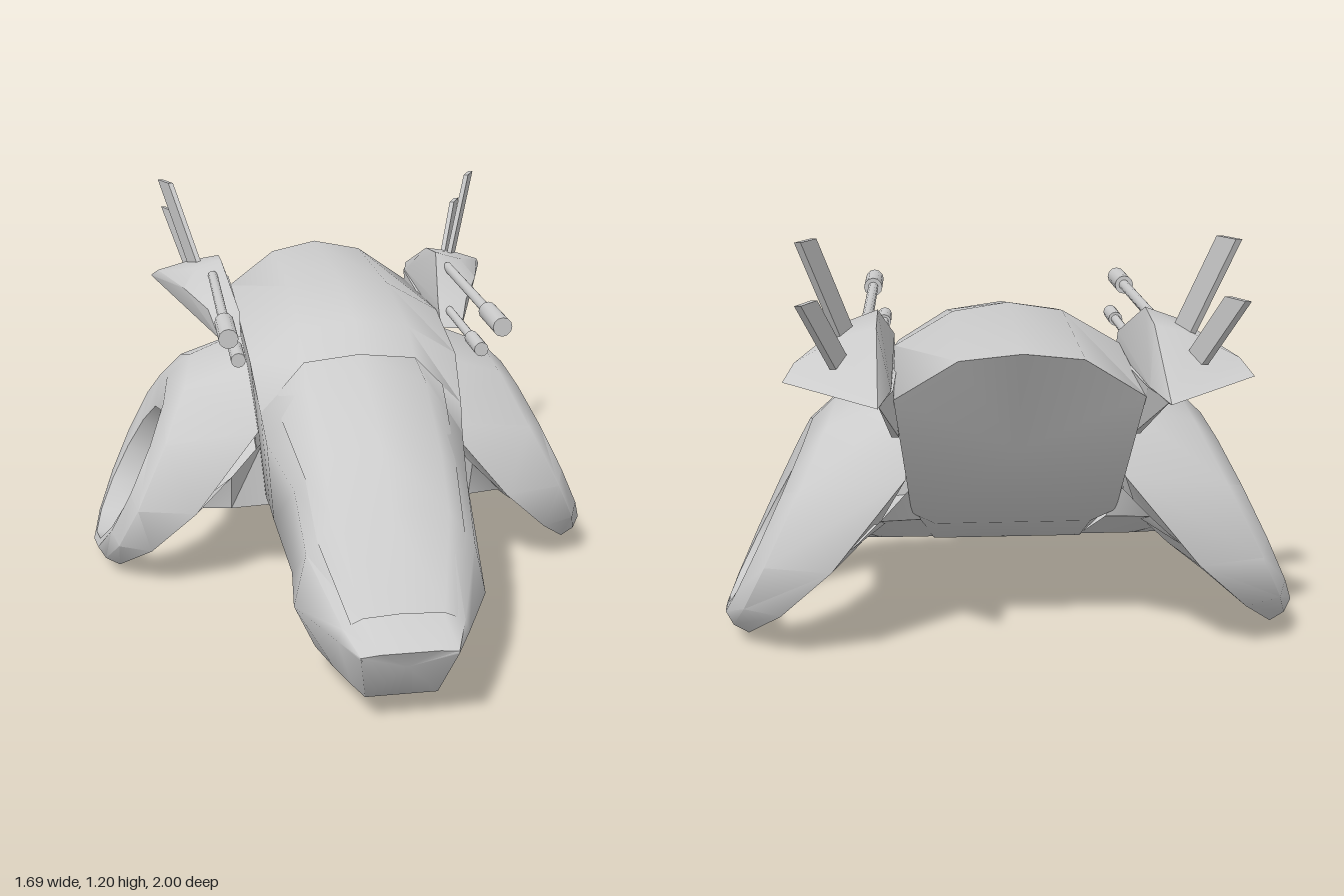
import * as THREE from 'three';
import { toCreasedNormals } from 'three/addons/utils/BufferGeometryUtils.js';
import { ConvexGeometry } from 'three/addons/geometries/ConvexGeometry.js';

const material = new THREE.MeshStandardMaterial({ color: 0xcccccc, side: THREE.DoubleSide });

// Creased normals, optionally mirrored to the other side with the winding kept outward
function finish(source, crease, mirror = false) {
  const geo = source.index ? source.toNonIndexed() : source.clone();
  if (mirror) {
    const p = geo.attributes.position;
    const a = new THREE.Vector3(), b = new THREE.Vector3();
    for (let i = 0; i < p.count; i++) p.setX(i, -p.getX(i));
    for (let i = 0; i < p.count; i += 3) {
      a.fromBufferAttribute(p, i + 1);
      b.fromBufferAttribute(p, i + 2);
      p.setXYZ(i + 1, b.x, b.y, b.z);
      p.setXYZ(i + 2, a.x, a.y, a.z);
    }
  }
  geo.deleteAttribute('uv');
  geo.deleteAttribute('normal');
  return toCreasedNormals(geo, crease);
}

// Skin through rows of points; rows may be closed, capped at both ends, or wrapped into a ring
function loft(rows, { closed = true, caps = false, ring = false } = {}) {
  const n = rows[0].length, m = rows.length;
  const pos = rows.flat(2), idx = [];
  for (let i = 0; i < (ring ? m : m - 1); i++) {
    for (let j = 0; j < (closed ? n : n - 1); j++) {
      const k = (j + 1) % n, r = ((i + 1) % m) * n;
      idx.push(i * n + j, r + j, r + k, i * n + j, r + k, i * n + k);
    }
  }
  if (caps) {
    [0, m - 1].forEach((row) => {
      const c = pos.length / 3;
      for (let d = 0; d < 3; d++) pos.push(rows[row].reduce((s, p) => s + p[d], 0) / n);
      for (let j = 0; j < n; j++) {
        const a = row * n + j, b = row * n + (j + 1) % n;
        idx.push(c, row ? b : a, row ? a : b);
      }
    });
  }
  const geo = new THREE.BufferGeometry();
  geo.setAttribute('position', new THREE.Float32BufferAttribute(pos, 3));
  geo.setIndex(idx);
  return geo;
}

const hullOf = (pts) => new ConvexGeometry(pts.map((p) => new THREE.Vector3(...p)));

// Hull half sections: belly centre, belly edge, lower side, shoulder, upper deck, crest
const section = (zBelly, z, pts) => pts.map(([x, y, zz], i) => [x, y, zz ?? (i < 2 ? zBelly : z)]);
const stations = [
  section(0.885, 1, [[0, 0.09], [0.1, 0.09], [0.13, 0.268], [0.13, 0.275], [0.08, 0.28], [0, 0.28]]),
  section(0.82, 0.91, [[0, 0.09], [0.125, 0.09], [0.178, 0.28], [0.165, 0.315], [0.11, 0.33], [0, 0.335]]),
  section(0.72, 0.71, [[0, 0.09], [0.16, 0.09], [0.27, 0.285], [0.235, 0.44], [0.16, 0.53], [0, 0.55]]),
  section(0.61, 0.55, [[0, 0.1], [0.2, 0.1], [0.257, 0.31], [0.247, 0.56], [0.17, 0.64], [0, 0.665]]),
  section(0.29, 0.27, [[0, 0.26], [0.2, 0.26], [0.28, 0.35], [0.297, 0.6], [0.18, 0.76], [0, 0.775]]),
  section(0.15, 0.14, [[0, 0.255], [0.2, 0.255], [0.28, 0.34], [0.307, 0.67, 0.2], [0.17, 0.8, 0.16], [0, 0.81]]),
  section(0.04, 0.04, [[0, 0.25], [0.21, 0.25], [0.28, 0.32], [0.322, 0.78], [0.17, 0.875], [0, 0.9]]),
  section(-0.29, -0.29, [[0, 0.235], [0.22, 0.235], [0.275, 0.29], [0.33, 0.83], [0.16, 0.93], [0, 0.955]]),
  section(-0.55, -0.85, [[0, 0.37], [0.22, 0.37], [0.285, 0.42, -0.6], [0.325, 0.8, -0.83], [0.16, 0.91, -0.88], [0, 0.935, -0.92]]),
];
const mirrorPts = (pts) => pts.map(([x, y, z]) => [-x, y, z]).reverse();
const fullLoop = (half) => [...half, ...mirrorPts(half.slice(1, -1))];

// Glazing: a thin raised shell over the front deck
function canopyRows() {
  return stations.slice(1, 6).map((s) => {
    const half = [
      s[3].map((v, d) => v * 0.6 + s[4][d] * 0.4 + (d === 1 ? 0.004 : 0)),
      [s[4][0], s[4][1] + 0.01, s[4][2]],
      [0, s[5][1] + 0.012, s[5][2]],
    ];
    return [...half, ...mirrorPts(half.slice(0, 2))];
  });
}

// Ring wing: loops round the duct, from the outer hole edge over the rim to the inner hole edge
function wingGeometry() {
  const loop = (cy, up, down, rz, xOf) => Array.from({ length: 12 }, (_, i) => {
    const t = (i / 12) * Math.PI * 2, c = Math.cos(t);
    const y = cy + c * (c > 0 ? up : down);
    return [xOf(y), y, -0.33 + rz * Math.sin(t)];
  });
  return loft([
    loop(0.295, 0.215, 0.215, 0.245, (y) => 0.835 - 0.55 * (y - 0.08)),
    loop(0.34, 0.285, 0.285, 0.31, (y) => 0.845 - 0.48 * (y - 0.055)),
    loop(0.3, 0.4, 0.275, 0.36, (y) => 0.82 - 0.485 * (y - 0.025)),
    loop(0.29, 0.49, 0.287, 0.385, (y) => Math.max(0.3, 0.3 + 1.02 * (0.49 - y))),
    loop(0.225, 0.145, 0.145, 0.245, (y) => 0.515 + 1.35 * (0.245 - y)),
  ], { ring: true });
}

// Thin panel closing the space between the wing rim and the belly, from front to rear
const wingRoot = loft([
  [[0.28, 0.51, 0], [0.39, 0.4, 0.035], [0.5, 0.29, 0.045]],
  [[0.26, 0.285, 0], [0.39, 0.275, -0.01], [0.515, 0.25, -0.09]],
  [[0.22, 0.24, -0.29], [0.38, 0.24, -0.29], [0.515, 0.245, -0.29]],
  [[0.26, 0.39, -0.57], [0.36, 0.38, -0.57], [0.46, 0.37, -0.57]],
  [[0.29, 0.5, -0.64], [0.37, 0.42, -0.67], [0.45, 0.35, -0.7]],
], { closed: false });

// Swept blade between a base and a tip point
function blade(base, tip) {
  const pts = [];
  for (const [x, y, z] of [base, tip])
    for (const dz of [-0.038, 0.038])
      for (const dx of [-0.008, 0.008]) pts.push([x + dx - 0.45 * dz, y, z + dz]);
  return hullOf(pts);
}

function rod(x, y, z0, z1, r) {
  return new THREE.CylinderGeometry(r, r, z1 - z0, 12).rotateX(Math.PI / 2).translate(x, y, (z0 + z1) / 2);
}

export function createModel() {
  const model = new THREE.Group();
  model.name = 'aircraft';
  const add = (name, geo, parent = model) => {
    const mesh = new THREE.Mesh(geo, material);
    mesh.name = name;
    parent.add(mesh);
  };

  add('hull', finish(loft(stations.map(fullLoop), { caps: true }), 1.1));
  add('canopy', finish(loft(canopyRows(), { closed: false }), 1.0));

  // Parts repeated on both sides, described for +x, each with its crease angle
  const sideParts = {
    ringWing: [wingGeometry(), 0.9],
    wingRoot: [wingRoot, 0.6],
    weaponPod: [hullOf([[0.33, 0.79, -0.21], [0.4, 0.785, -0.21], [0.33, 0.86, -0.26], [0.43, 0.865, -0.28],
      [0.37, 0.975, -0.5], [0.46, 0.945, -0.52], [0.37, 0.955, -0.66], [0.47, 0.935, -0.68],
      [0.5, 0.895, -0.45], [0.58, 0.885, -0.76], [0.605, 0.85, -0.83], [0.53, 0.8, -0.72],
      [0.36, 0.82, -1], [0.33, 0.83, -0.85], [0.34, 0.755, -0.6]]), 0.7],
    podMount: [hullOf([[0.315, 0.8, -0.22], [0.345, 0.8, -0.22], [0.315, 0.66, -0.68], [0.335, 0.66, -0.68],
      [0.325, 0.83, -0.85], [0.36, 0.82, -0.97]]), 0.3],
    upperBarrel: [rod(0.402, 0.935, -0.45, 0.13, 0.016), 0.65],
    upperMuzzle: [rod(0.402, 0.935, 0.12, 0.3, 0.029), 0.65],
    lowerBarrel: [rod(0.368, 0.835, -0.28, 0.07, 0.014), 0.65],
    lowerMuzzle: [rod(0.368, 0.835, 0.06, 0.19, 0.022), 0.65],
    frontBlade: [blade([0.45, 0.92, -0.63], [0.54, 1.2, -0.76]), 0.3],
    rearBlade: [blade([0.46, 0.88, -0.78], [0.53, 1.07, -0.93]), 0.3],
  };
  for (const mirror of [false, true]) {
    const side = new THREE.Group();
    side.name = mirror ? 'rightSide' : 'leftSide';
    for (const [name, [geo, crease]] of Object.entries(sideParts)) add(name, finish(geo, crease, mirror), side);
    model.add(side);
  }
  return model;
}
